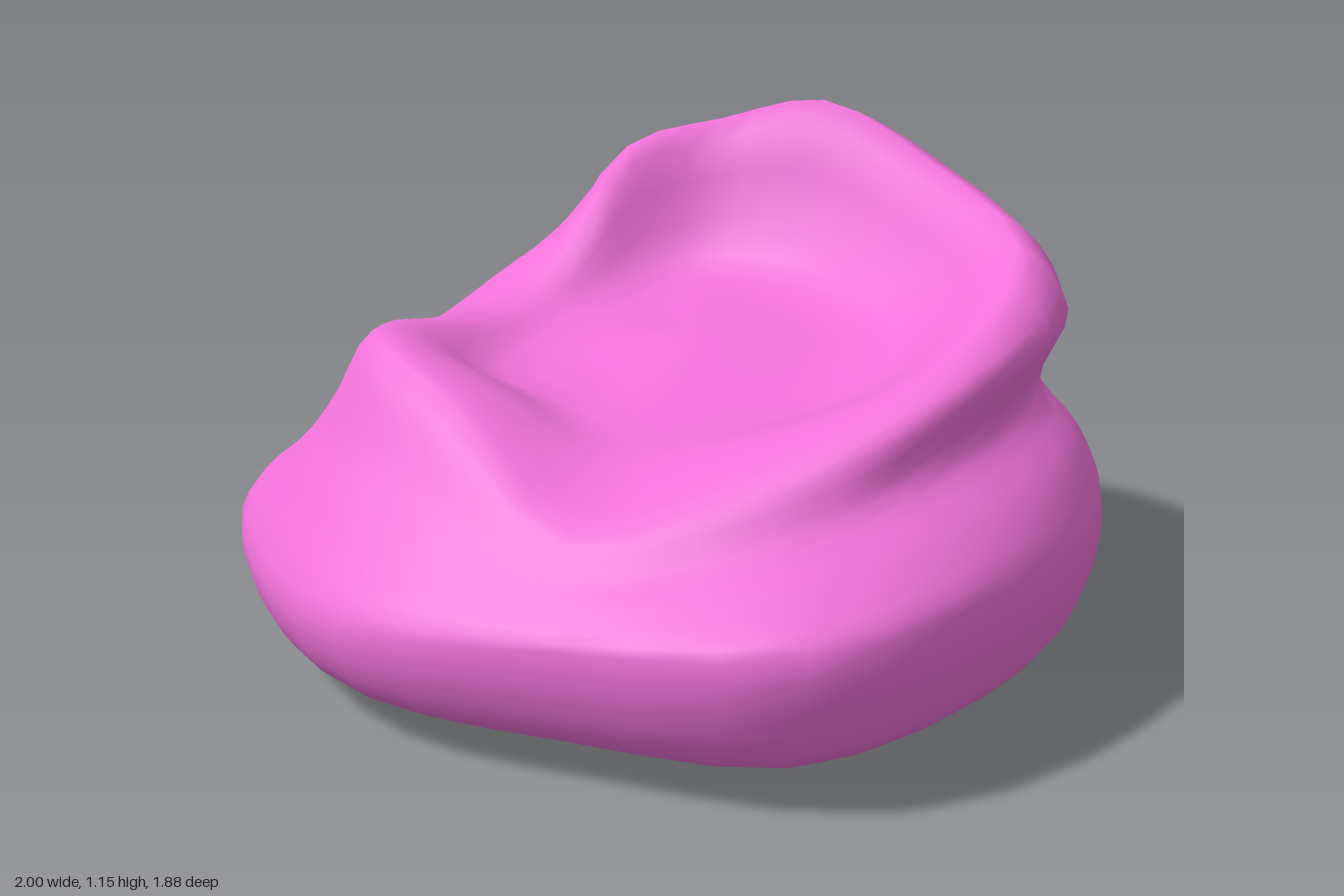
import * as THREE from 'three';
import { mergeVertices } from 'three/addons/utils/BufferGeometryUtils.js';

// Values every 30 degrees, from +x round through +z
const GIRTH = [.99, 1.06, .92, .94, .945, 1.02, 1, .98, 1, .94, .95, .965];
const LIP = {
  r: [.82, .75, .75, .62, .66, .56, .51, .58, .71, .75, .79, .87],
  y: [.74, .6, .5, .66, .75, .68, .77, .85, .9, .84, .82, .82],
};
const CREST = {
  r: [.74, .6, .55, .5, .56, .38, .34, .38, .44, .49, .58, .76],
  y: [.77, .64, .57, .67, .74, .72, .83, 1.04, 1.09, 1.15, 1.06, .94],
};
const AROUND = 36, STEPS = 4;

// Smooth closed loop from a rule giving [radius, height] for direction i
function ring(rule) {
  const points = GIRTH.map((_, i) => {
    const a = i * Math.PI / 6;
    const [r, y] = rule(i, a);
    return new THREE.Vector3(r * Math.cos(a), y, r * Math.sin(a));
  });
  return new THREE.CatmullRomCurve3(points, true);
}

const girthHeight = (a) => .295 + .075 * Math.cos(a) + .02 * Math.cos(2 * a);

// Slope between girth and lip, swollen a little and pinched towards the back right
function shoulder(t, swell, pinch) {
  return ring((i, a) => [
    THREE.MathUtils.lerp(GIRTH[i], LIP.r[i], t) + swell - pinch * Math.max(0, Math.cos(a + .6)),
    THREE.MathUtils.lerp(girthHeight(a), LIP.y[i], t),
  ]);
}

// Sloping seat inside the crest, falling towards the front right
const seatHeight = (x, z) => .71 - .1 * x - .28 * z;

export function createModel() {
  const loops = [
    ring((i, a) => [GIRTH[i] * .79, .035 + .022 * Math.cos(a) - .012 * Math.cos(2 * a)]), // underside edge
    ring((i, a) => [GIRTH[i] * .945, .115 + .035 * Math.cos(a)]), // rounded lower edge
    ring((i, a) => [GIRTH[i], girthHeight(a)]), // widest girth
    shoulder(.33, .01, .03),
    shoulder(.62, 0, .09),
    ring((i) => [LIP.r[i], LIP.y[i]]), // outer lip
    ring((i) => [CREST.r[i], CREST.y[i]]),
    ring((i, a) => { // edge of the seat
      const r = CREST.r[i] * .68;
      return [r, seatHeight(r * Math.cos(a), r * Math.sin(a))];
    }),
  ];
  const bottom = new THREE.Vector3(0, .015, 0);
  const seat = new THREE.Vector3(.08, seatHeight(.08, 0), 0);
  const rows = STEPS * (loops.length + 1);
  const positions = [], index = [];

  // One section per direction, from the underside over the crest to the seat
  for (let i = 0; i < AROUND; i++) {
    const section = new THREE.CatmullRomCurve3(
      [bottom, ...loops.map((loop) => loop.getPoint(i / AROUND)), seat]);
    for (let j = 0; j <= rows; j++) {
      const p = section.getPoint(j / rows);
      positions.push(p.x, Math.max(p.y, 0), p.z);
    }
    const a = i * (rows + 1), b = ((i + 1) % AROUND) * (rows + 1);
    for (let j = 0; j < rows; j++) {
      if (j > 0) index.push(a + j, a + j + 1, b + j);
      if (j < rows - 1) index.push(a + j + 1, b + j + 1, b + j);
    }
  }

  let geometry = new THREE.BufferGeometry();
  geometry.setAttribute('position', new THREE.Float32BufferAttribute(positions, 3));
  geometry.setIndex(index);
  geometry = mergeVertices(geometry);
  geometry.computeVertexNormals();

  const body = new THREE.Mesh(geometry, new THREE.MeshStandardMaterial({ color: 0xf072d8 }));
  body.name = 'hollowedMound';
  const group = new THREE.Group();
  group.name = 'mound';
  group.add(body);
  return group;
}
